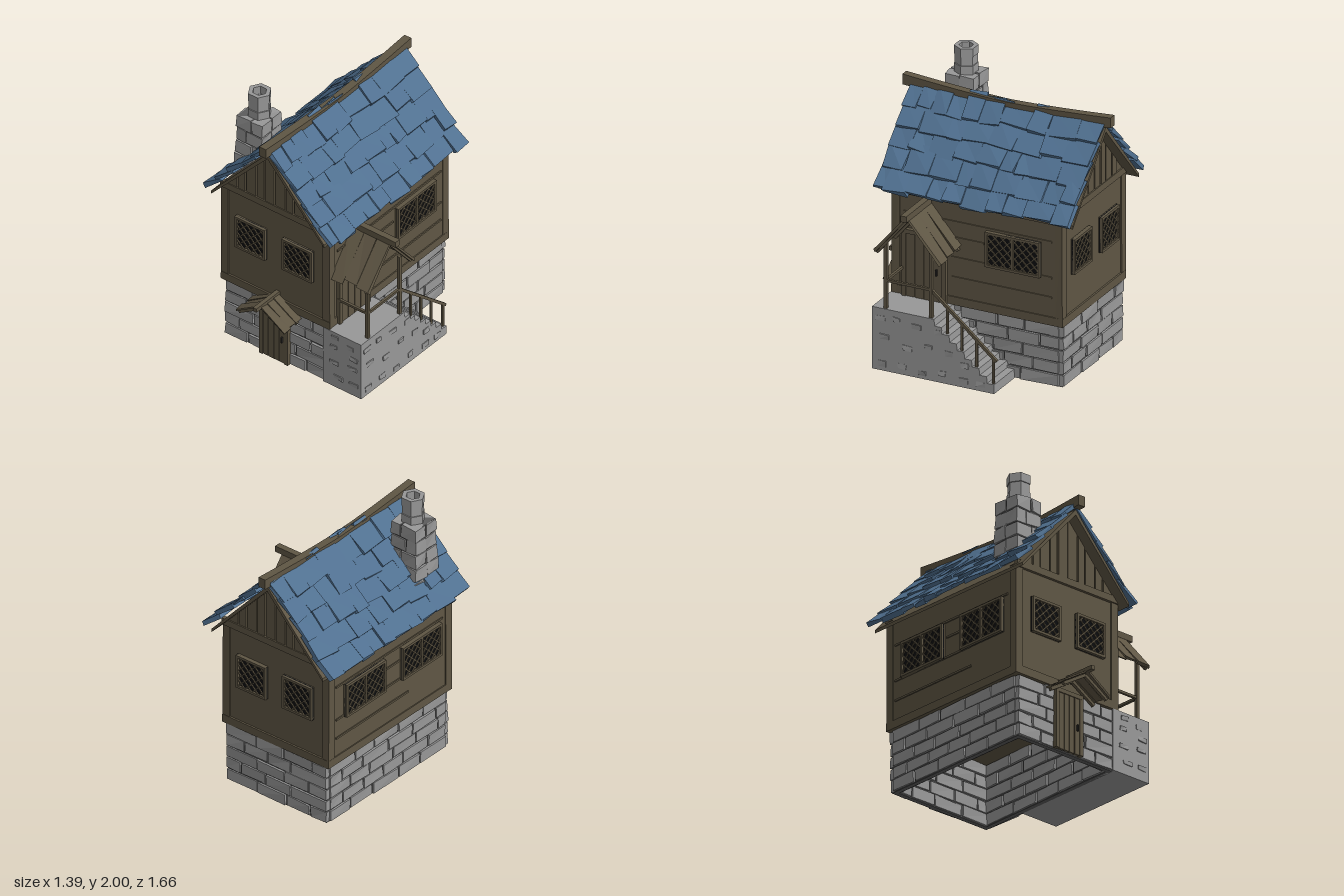
import * as THREE from 'three';
import { mergeGeometries } from 'three/addons/utils/BufferGeometryUtils.js';

const mat = (name, color) => Object.assign(new THREE.MeshStandardMaterial({ color }), { name });
const wood = mat('brown timber', 0x5f5644);
const stone = mat('grey stone', 0x989898);
const mortar = mat('dark mortar', 0x5c5c5c);
const slate = mat('blue slate', 0x507090);
const glass = mat('black glass', 0x0c0d0f);
const iron = mat('dark iron', 0x2a2826);

let seed = 7;
const rnd = () => (seed = (seed * 16807) % 2147483647) / 2147483647;
const jit = (a) => (rnd() - 0.5) * 2 * a;

// Box whose eight corners are nudged by up to j
function block(w, h, d, x = 0, y = 0, z = 0, j = 0) {
  const g = new THREE.BoxGeometry(w, h, d), p = g.attributes.position;
  const off = Array.from({ length: 8 }, () => [jit(j), jit(j), jit(j)]);
  for (let i = 0; i < p.count; i++) {
    const o = off[(p.getX(i) > 0 ? 1 : 0) + (p.getY(i) > 0 ? 2 : 0) + (p.getZ(i) > 0 ? 4 : 0)];
    p.setXYZ(i, p.getX(i) + o[0] + x, p.getY(i) + o[1] + y, p.getZ(i) + o[2] + z);
  }
  return g;
}
// Merge pieces into one flat-faced mesh
function part(parent, name, material, geos) {
  const flat = geos.map((g) => {
    const n = g.index ? g.toNonIndexed() : g;
    n.computeVertexNormals();
    return n;
  });
  const m = new THREE.Mesh(mergeGeometries(flat), material);
  m.name = name;
  parent.add(m);
  return m;
}
function group(parent, name, x, y, z, ry = 0) {
  const g = new THREE.Group();
  g.name = name;
  g.position.set(x, y, z);
  g.rotation.y = ry;
  parent.add(g);
  return g;
}
// Square bar between two points
function bar(a, b, t) {
  const A = new THREE.Vector3(...a), B = new THREE.Vector3(...b);
  const g = new THREE.BoxGeometry(t, t, A.distanceTo(B));
  const o = new THREE.Object3D();
  o.position.copy(A).add(B).multiplyScalar(0.5);
  o.lookAt(B);
  o.updateMatrix();
  return g.applyMatrix4(o.matrix);
}
const polygon = (pts) => new THREE.Shape(pts.map((p) => new THREE.Vector2(...p)));
const extrude = (pts, depth) => new THREE.ExtrudeGeometry(polygon(pts), { depth, bevelEnabled: false });

// House outline: centre line, walls, gable slope
const CX = -0.14, HALF = 0.46, EAVE = 1.25, PEAK = 1.74, FRONT = 0.59, BACK = -0.69;
const MIDZ = (FRONT + BACK) / 2;
const ANG = Math.atan2(PEAK - EAVE, HALF);

// Lattice window facing +z
function windowUnit(parent, x, y, z, ry, w, h, panes) {
  const g = group(parent, 'latticeWindow', x, y, z, ry), t = 0.018;
  part(g, 'windowGlass', glass, [block(w, h, 0.008, 0, 0, 0.005)]);
  const frame = [-1, 1].flatMap((s) => [
    block(w, t, 0.03, 0, s * (h - t) / 2, 0.01), block(t, h, 0.03, s * (w - t) / 2, 0, 0.01)]);
  if (panes > 1) frame.push(block(t, h, 0.028, 0, 0, 0.01));
  part(g, 'windowFrame', wood, frame);
  const pw = w / panes - t, ph = h - t, bars = [];
  for (let k = 0; k < panes; k++) {
    const px = (k - (panes - 1) / 2) * (w / panes);
    for (let c = -0.24; c < 0.25; c += 0.06) {
      const lo = Math.max(-ph / 2, -pw / 2 - c), hi = Math.min(ph / 2, pw / 2 - c);
      if (hi - lo > 0.01) for (const s of [-1, 1])
        bars.push(bar([px + s * (lo + c), lo, 0.013], [px + s * (hi + c), hi, 0.013], 0.009));
    }
  }
  part(g, 'windowLattice', wood, bars);
}

// Plank door facing +z, standing on its origin
function door(parent, x, y, z, ry, w, h) {
  const g = group(parent, 'plankDoor', x, y, z, ry), t = 0.03, n = 4, pw = (w - 2 * t) / n, p = [];
  for (let i = 0; i < n; i++) p.push(block(pw - 0.005, h - t, 0.02, (i - (n - 1) / 2) * pw, (h - t) / 2, 0.004 + jit(0.002)));
  for (const s of [-1, 1]) p.push(block(t, h, 0.035, s * (w - t) / 2, h / 2, 0.004));
  p.push(block(w, t, 0.035, 0, h - t / 2, 0.005));
  part(g, 'doorPlanks', wood, p);
  part(g, 'doorHandle', iron, [block(0.01, 0.045, 0.015, w * 0.29, h * 0.44, 0.02)]);
}

// Small pitched plank roof, ridge along local +z
function awning(parent, name, x, y, z, ry, hw, drop, depth, beam, t, n) {
  const g = group(parent, name, x, y, z, ry);
  const a = Math.atan2(drop, hw), L = Math.hypot(hw, drop), pw = depth / n, planks = [];
  for (const s of [-1, 1]) for (let i = 0; i < n; i++) {
    const l = L * (0.97 + jit(0.05));
    const p = block(l, 0.014, pw - 0.004, l / 2, 0, 0, 0.006);
    if (s < 0) p.rotateY(Math.PI);
    planks.push(p.rotateZ(-s * a).translate(0, jit(0.004), (i + 0.5) * pw));
  }
  part(g, 'awningPlanks', wood, planks);
  const b = [block(t, t, beam, 0, 0.008, beam / 2)];
  for (const s of [-1, 1]) for (const zz of [0.04, depth - 0.03])
    b.push(bar([0, -0.022, zz], [s * hw * 0.95, -drop * 0.95 - 0.022, zz], 0.022));
  part(g, 'awningBeams', wood, b);
}

// Course of bricks for one wall facing +z, centred on its origin
function brickWall(parent, x, z, ry, len) {
  const g = group(parent, 'brickWall', x, 0, z, ry), bricks = [], H = 0.09;
  for (let r = 0; r < 5; r++) {
    let u = -len / 2;
    while (u < len / 2 - 0.01) {
      let w = (u === -len / 2 && r % 2 ? 0.12 : 0.2) + rnd() * 0.07;
      if (len / 2 - u - w < 0.08) w = len / 2 - u;
      bricks.push(block(w - 0.012, H - 0.011, 0.06, u + w / 2, (r + 0.5) * H, jit(0.004), 0.004));
      u += w;
    }
  }
  part(g, 'bricks', stone, bricks);
  part(g, 'mortarBed', mortar, [block(len - 0.02, 0.445, 0.035, 0, 0.2225, 0)]);
}

export function createModel() {
  seed = 7;
  const house = new THREE.Group();
  house.name = 'cottage';

  // Stone ground floor, open underneath
  const bx = 0.41, bz = 0.605;
  brickWall(house, CX, MIDZ + bz, 0, 2 * bx + 0.05);
  brickWall(house, CX, MIDZ - bz, Math.PI, 2 * bx + 0.05);
  brickWall(house, CX + bx, MIDZ, Math.PI / 2, 2 * bz);
  brickWall(house, CX - bx, MIDZ, -Math.PI / 2, 2 * bz);

  // Timber upper floor with gables
  const L = CX - HALF + 0.008, R = CX + HALF - 0.008;
  part(house, 'upperFloor', wood, [
    extrude([[L, 0.45], [R, 0.45], [R, EAVE], [CX, PEAK], [L, EAVE]], FRONT - BACK - 0.02).translate(0, 0, BACK + 0.01)]);
  const trim = [];
  for (const s of [-1, 1]) {
    for (const z of [BACK + 0.03, FRONT - 0.03]) trim.push(block(0.06, 0.8, 0.06, CX + s * (HALF - 0.03), 0.85, z, 0.002));
    for (const [y, z0, z1] of [[0.48, BACK, FRONT], [0.65, BACK + 0.08, 0.14], [0.795, BACK + 0.08, 0.14], [0.94, -0.1, 0.15], [1.055, BACK + 0.08, 0.5]])
      trim.push(block(0.012, y < 0.5 ? 0.06 : 0.014, z1 - z0, CX + s * (HALF - 0.006), y, (z0 + z1) / 2));
    const z = s > 0 ? FRONT - 0.004 : BACK + 0.004;
    trim.push(block(2 * HALF, 0.05, 0.03, CX, EAVE + 0.003, z), block(2 * HALF, 0.06, 0.014, CX, 0.48, z));
  }
  part(house, 'wallTimbers', wood, trim);

  // Upright gable planks with sloping tops
  const planks = [];
  const roofY = (x) => PEAK - Math.abs(x) * Math.tan(ANG) - 0.01;
  for (const z of [FRONT - 0.012, BACK - 0.004]) for (const s of [-1, 1]) {
    const cuts = [0, 0.09, 0.16, 0.25, 0.32, 0.42];
    for (let i = 0; i < 5; i++) {
      const a = s * (cuts[i] + 0.004), b = s * (cuts[i + 1] - 0.004 - rnd() * 0.006);
      planks.push(extrude([[a, EAVE], [b, EAVE], [b, roofY(b)], [a, roofY(a)]], 0.016).translate(CX, 0, z + jit(0.004)));
    }
  }
  part(house, 'gablePlanks', wood, planks);

  // Windows on all four sides
  for (const x of [-0.34, 0.058]) {
    windowUnit(house, x, 0.915, FRONT, 0, 0.255, 0.255, 1);
    windowUnit(house, x, 0.915, BACK, Math.PI, 0.255, 0.255, 1);
  }
  windowUnit(house, CX + HALF, 0.915, -0.325, Math.PI / 2, 0.41, 0.255, 2);
  for (const z of [-0.325, 0.26]) windowUnit(house, CX - HALF, 0.915, z, -Math.PI / 2, 0.41, 0.255, 2);

  // Doors and their little roofs
  door(house, -0.138, 0.002, 0.593, 0, 0.245, 0.44);
  door(house, CX + HALF, 0.45, 0.34, Math.PI / 2, 0.33, 0.49);
  awning(house, 'frontAwning', -0.125, 0.54, 0.58, 0, 0.205, 0.125, 0.195, 0.25, 0.03, 3);
  awning(house, 'sideAwning', 0.3, 1.17, 0.315, Math.PI / 2, 0.25, 0.3, 0.33, 0.38, 0.045, 3);

  // Roof deck with visible gable edges
  const dy = 0.51, dx = 0.48;
  part(house, 'roofDeck', wood, [extrude([
    [-dx, PEAK - dy - 0.01], [-dx, PEAK - dy - 0.035], [0, PEAK - 0.025], [dx, PEAK - dy - 0.035], [dx, PEAK - dy - 0.01], [0, PEAK + 0.015],
  ], 1.455).translate(CX, 0, -0.78)]);

  // Overlapping slates laid in five rows a side
  const slates = [];
  for (const s of [-1, 1]) for (let r = 0; r < 5; r++) {
    let z = -0.775;
    while (z < 0.66) {
      let w = 0.1 + rnd() * 0.12;
      if (0.675 - z - w < 0.07) w = 0.675 - z;
      const len = 0.2 + jit(0.018), d = 0.76 - 0.15 * r - 0.1 + jit(0.012), n = 0.03 + jit(0.006);
      const zc = z + w / 2, sag = 0.012 * (1 - ((zc + 0.05) / 0.75) ** 2);
      slates.push(block(len, 0.028, w + 0.004, 0, 0, 0, 0.009)
        .rotateY(jit(0.06)).rotateZ(-s * (ANG - 0.1 + jit(0.04)))
        .translate(CX + s * (d * Math.cos(ANG) + n * Math.sin(ANG)), 1.76 - d * Math.sin(ANG) + n * Math.cos(ANG) - sag, zc));
      z += w;
    }
  }
  part(house, 'roofSlates', slate, slates);

  // Sagging ridge beam
  const ridge = new THREE.BoxGeometry(0.057, 0.075, 1.56, 1, 1, 8).translate(CX + 0.003, 0, -0.05);
  const rp = ridge.attributes.position;
  for (let i = 0; i < rp.count; i++) rp.setY(i, rp.getY(i) + 1.757 + 0.045 * Math.abs((rp.getZ(i) + 0.05) / 0.78) ** 1.4);
  part(house, 'ridgeBeam', wood, [ridge]);

  // Chimney: tapering stone courses below a six-sided flue
  const stack = [], joints = [], px = -0.42, pz = 0.41;
  for (let i = 0; i < 5; i++) {
    const w = 0.245 - i * 0.008 + (i === 4 ? 0.012 : 0), y = 1.3 + i * 0.103 + 0.05, cut = w * (i % 2 ? 0.4 : 0.6);
    for (const [x, ww] of [[-w / 2 + cut / 2, cut], [w / 2 - (w - cut) / 2, w - cut]])
      for (const s of [-1, 1]) stack.push(block(ww - 0.007, 0.094, w / 2 - 0.004, px + x, y, pz + s * w / 4, 0.006));
  }
  joints.push(block(0.2, 0.5, 0.2, px, 1.555, pz));
  for (let i = 0; i < 3; i++) {
    const r = 0.083 - (i % 2) * 0.005, y0 = 1.808 + i * 0.064, h = 0.062;
    stack.push(new THREE.LatheGeometry([[0.05, 0], [r, 0], [r, h], [0.05, h], [0.05, 0]].map((p) => new THREE.Vector2(...p)), 6)
      .rotateY(Math.PI / 6 * 3).translate(px + 0.005, y0, pz));
  }
  joints.push(new THREE.CylinderGeometry(0.052, 0.052, 0.11, 6).rotateY(Math.PI / 2).translate(px + 0.005, 1.85, pz));
  part(house, 'chimneyStones', stone, stack);
  part(house, 'chimneyCore', mortar, joints);

  // Stone landing and steps
  const prof = [[-0.32, 0], [0.595, 0], [0.595, 0.452], [0.13, 0.452]], N = 8;
  for (let i = 1; i <= N; i++) {
    const z = 0.13 - (i - 1) * 0.45 / N, y = 0.452 - i * 0.385 / N;
    prof.push([z - 0.004, y], [z - 0.45 / N, y]);
  }
  part(house, 'stoneStairs', stone, [extrude(prof, 0.322).rotateY(-Math.PI / 2).translate(0.592, 0, 0)]);
  const studs = [];
  for (const [z, y] of [[0.52, 0.05], [0.37, 0.06], [0.22, 0.04], [0.07, 0.07], [-0.09, 0.05], [-0.22, 0.05], [0.5, 0.25], [0.33, 0.2], [0.17, 0.24], [0.02, 0.22], [0.53, 0.38], [0.41, 0.39], [0.26, 0.37], [0.1, 0.36], [-0.1, 0.16]])
    studs.push(block(0.012, 0.03 + rnd() * 0.012, 0.05 + rnd() * 0.03, 0.592, y, z, 0.004));
  for (const [x, y] of [[0.37, 0.41], [0.36, 0.33], [0.5, 0.38], [0.53, 0.3], [0.36, 0.2], [0.52, 0.22], [0.4, 0.09], [0.53, 0.09]])
    studs.push(block(0.05 + rnd() * 0.03, 0.03, 0.012, x, y, 0.595, 0.004));
  part(house, 'facingStones', stone, studs);

  // Porch posts and handrails
  const X = 0.572, rails = [];
  for (const z of [0.5, 0.16]) rails.push(block(0.024, 0.48, 0.024, X, 0.69, z));
  rails.push(bar([X, 0.655, 0.5], [X, 0.655, 0.16], 0.018), bar([0.32, 0.655, 0.5], [X, 0.655, 0.5], 0.018));
  rails.push(bar([X, 0.655, 0.16], [X, 0.23, -0.33], 0.02));
  for (const [z, y] of [[0.04, 0.36], [-0.07, 0.26], [-0.18, 0.16], [-0.305, 0.06]]) {
    const top = 0.655 - (0.16 - z) * 0.867;
    rails.push(block(0.016, top - y, 0.016, X, (top + y) / 2, z));
  }
  part(house, 'porchRailing', wood, rails);

  return house;
}
